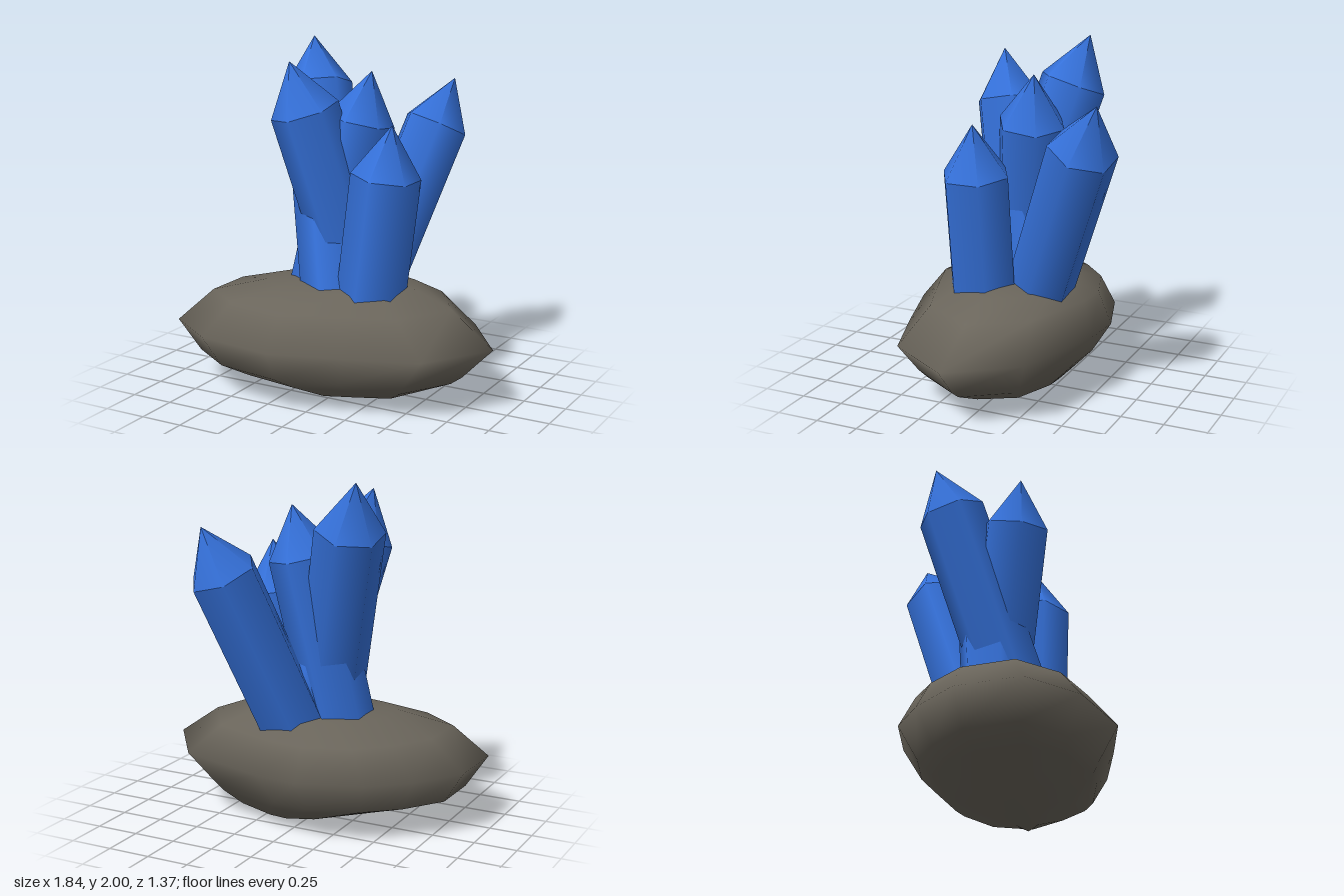
import * as THREE from 'three';
import { mergeVertices } from 'three/addons/utils/BufferGeometryUtils.js';

const UP = new THREE.Vector3(0, 1, 0);
const RADIUS = 0.197;
const TIP_HEIGHT = 0.29;

// Lofted boulder: one irregular outline, scaled and shifted per level
function rockGeometry() {
  const outline = [
    [-0.92, 0.41], [-0.91, 0.04], [-0.72, -0.23], [-0.5, -0.42], [-0.15, -0.53], [0.1, -0.51],
    [0.65, -0.34], [0.92, 0.03], [0.67, 0.42], [0.27, 0.56], [-0.14, 0.69], [-0.61, 0.62],
  ];
  // y, x scale, z scale, x shift, z shift
  const levels = [
    [0.0, 0, 0, 0.34, 0.04],
    [0.02, 0.28, 0.16, 0.115, 0.04],
    [0.06, 0.43, 0.54, 0.1, 0.0],
    [0.14, 0.7, 0.73, 0.03, 0.02],
    [0.19, 0.84, 0.82, -0.03, 0.02],
    [0.375, 1, 1, 0, 0],
    [0.56, 0.755, 0.81, -0.04, -0.02],
    [0.64, 0.48, 0.54, 0.01, -0.01],
    [0.665, 0.3, 0.22, 0.06, 0],
    [0.68, 0, 0, 0.03, 0],
  ];
  const n = outline.length;
  const positions = [];
  const index = [];
  levels.forEach(([y, sx, sz, dx, dz], r) => {
    outline.forEach(([x, z], i) => {
      positions.push(x * sx + dx, y, z * sz + dz);
      if (r === levels.length - 1) return;
      const a = r * n + i;
      const b = r * n + ((i + 1) % n);
      index.push(a, a + n, b, b, a + n, b + n);
    });
  });
  const geometry = new THREE.BufferGeometry();
  geometry.setAttribute('position', new THREE.Float32BufferAttribute(positions, 3));
  geometry.setIndex(index);
  const merged = mergeVertices(geometry); // joins each pole into one point
  merged.computeVertexNormals();
  return merged;
}

// Six-sided crystal from a buried foot to a pointed tip
function makeCrystal(name, foot, tip, twist, material) {
  const start = new THREE.Vector3(...foot);
  const axis = new THREE.Vector3(...tip).sub(start);
  const bodyLength = axis.length() - TIP_HEIGHT;

  const body = new THREE.Mesh(
    new THREE.CylinderGeometry(RADIUS, RADIUS, bodyLength, 6).rotateY(twist), material);
  body.name = name + 'Body';
  body.position.y = bodyLength / 2;

  const point = new THREE.Mesh(
    new THREE.ConeGeometry(RADIUS, TIP_HEIGHT, 6, 1, true).rotateY(twist), material);
  point.name = name + 'Tip';
  point.position.y = bodyLength + TIP_HEIGHT / 2;

  const crystal = new THREE.Group();
  crystal.name = name;
  crystal.position.copy(start);
  crystal.quaternion.setFromUnitVectors(UP, axis.normalize());
  crystal.add(body, point);
  return crystal;
}

export function createModel() {
  const stone = new THREE.MeshStandardMaterial({ color: 0x6a655b });
  stone.name = 'stone';
  const blue = new THREE.MeshStandardMaterial({ color: 0x3571da });
  blue.name = 'crystalBlue';

  const model = new THREE.Group();
  model.name = 'crystalCluster';

  const rock = new THREE.Mesh(rockGeometry(), stone);
  rock.name = 'rock';
  model.add(rock);

  // name, foot, tip, twist about the axis
  const crystals = [
    ['tallCrystal', [-0.01, 0.5, 0.13], [-0.39, 2.0, -0.28], 0.05],
    ['frontCrystal', [0.05, 0.5, -0.09], [-0.27, 1.91, 0.2], 0],
    ['middleCrystal', [-0.18, 0.5, 0.025], [0.07, 1.84, -0.135], 0],
    ['leaningCrystal', [0.03, 0.5, -0.13], [0.36, 1.76, -0.62], Math.PI / 6],
    ['shortCrystal', [0.19, 0.5, 0.115], [0.33, 1.59, 0.115], 0],
  ];
  for (const [name, foot, tip, twist] of crystals) {
    model.add(makeCrystal(name, foot, tip, twist, blue));
  }
  return model;
}
